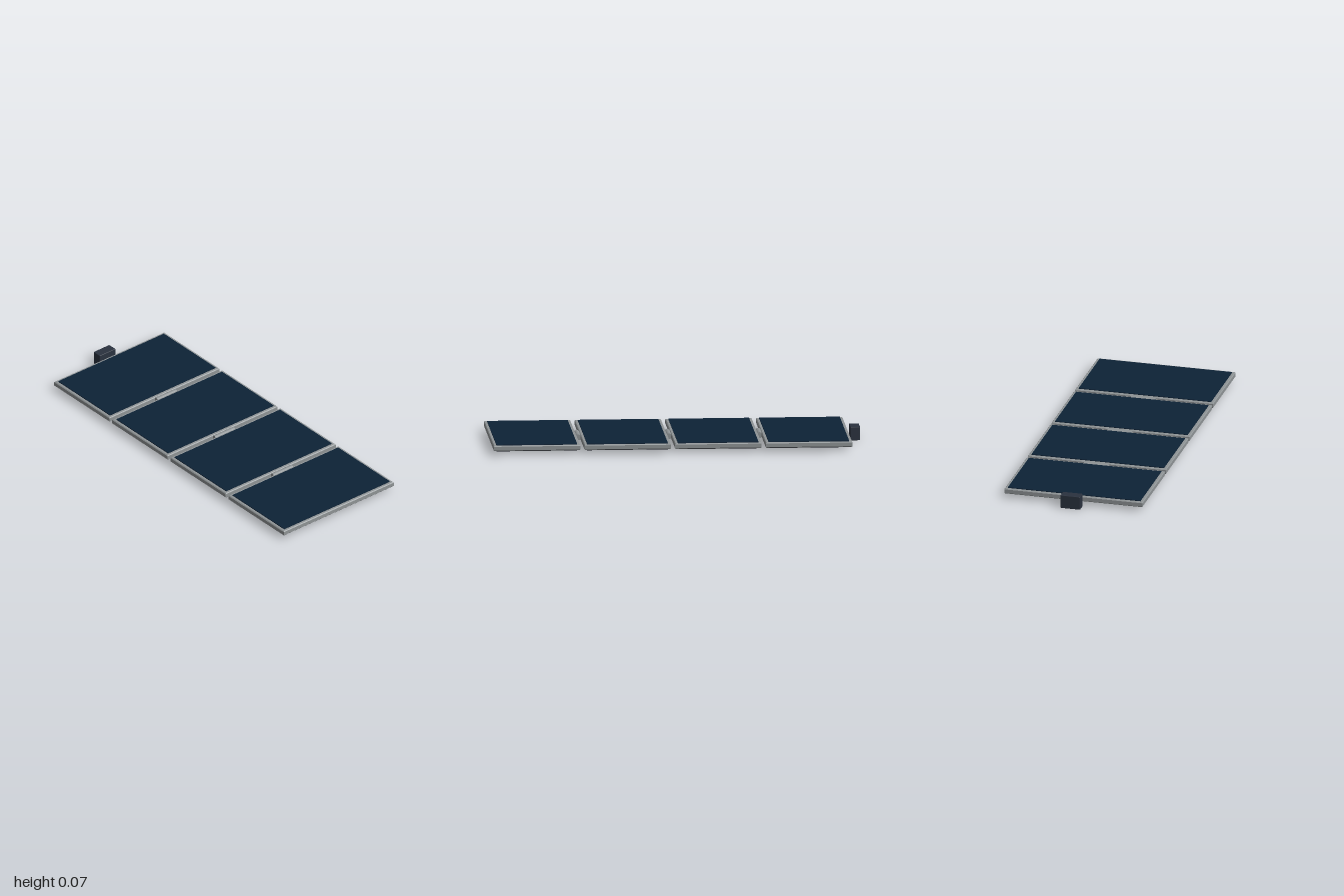
import * as THREE from 'three';
import { RoundedBoxGeometry } from 'three/addons/geometries/RoundedBoxGeometry.js';

const mat = (name, color) => {
  const m = new THREE.MeshStandardMaterial({ color });
  m.name = name;
  return m;
};

export function createModel() {
  const root = new THREE.Group();
  root.name = 'foldingSolarArray';
  const frameGrey = mat('frameGrey', 0x8f9496);
  const cellNavy = mat('cellNavy', 0x0d2236);
  const backBlack = mat('backBlack', 0x171a22);
  const mountSlate = mat('mountSlate', 0x2a323f);

  const add = (parent, name, geometry, material, x, y, z) => {
    const mesh = new THREE.Mesh(geometry, material);
    mesh.name = name;
    mesh.position.set(x, y, z);
    parent.add(mesh);
    return mesh;
  };

  const W = 0.467, D = 0.77, PITCH = 0.489, START = -0.935, MID = 0.0375;
  const rect = (Type, w, d) => {
    const p = new Type();
    p.moveTo(-w / 2, -d / 2);
    p.lineTo(w / 2, -d / 2);
    p.lineTo(w / 2, d / 2);
    p.lineTo(-w / 2, d / 2);
    p.closePath();
    return p;
  };

  // Chamfered rectangular frame, open in the middle
  const bevel = 0.004, height = 0.028;
  const outline = rect(THREE.Shape, W - 2 * bevel, D - 2 * bevel);
  outline.holes.push(rect(THREE.Path, W - 0.05, D - 0.05));
  const frameGeo = new THREE.ExtrudeGeometry(outline, {
    depth: height - 2 * bevel, bevelEnabled: true, bevelSegments: 1,
    bevelSize: bevel, bevelThickness: bevel,
  });
  frameGeo.translate(0, 0, -(height - 2 * bevel) / 2);
  frameGeo.rotateX(-Math.PI / 2);

  // Cell sheet above and backing sheet below, each proud of the frame
  const sheetGeo = new THREE.BoxGeometry(W - 0.032, 0.009, D - 0.032);

  // Knuckle between neighbouring panels
  const hingeGeo = new THREE.CylinderGeometry(0.016, 0.016, 0.135, 16);
  hingeGeo.rotateX(Math.PI / 2);

  for (let i = 0; i < 4; i++) {
    const panel = new THREE.Group();
    panel.name = `panel${i + 1}`;
    panel.position.set(START + W / 2 + i * PITCH, MID, 0);
    add(panel, 'frame', frameGeo, frameGrey, 0, 0, 0);
    add(panel, 'cellSheet', sheetGeo, cellNavy, 0, 0.0135, 0);
    add(panel, 'backSheet', sheetGeo, backBlack, 0, -0.0135, 0);
    root.add(panel);
    if (i < 3) {
      add(root, `hinge${i + 1}`, hingeGeo, frameGrey, START + i * PITCH + (W + PITCH) / 2, MID, 0);
    }
  }

  // Mounting block at the inboard end
  add(root, 'mountBlock', new RoundedBoxGeometry(0.053, 0.074, 0.11, 2, 0.003), mountSlate, -0.9735, 0.037, 0);

  return root;
}
